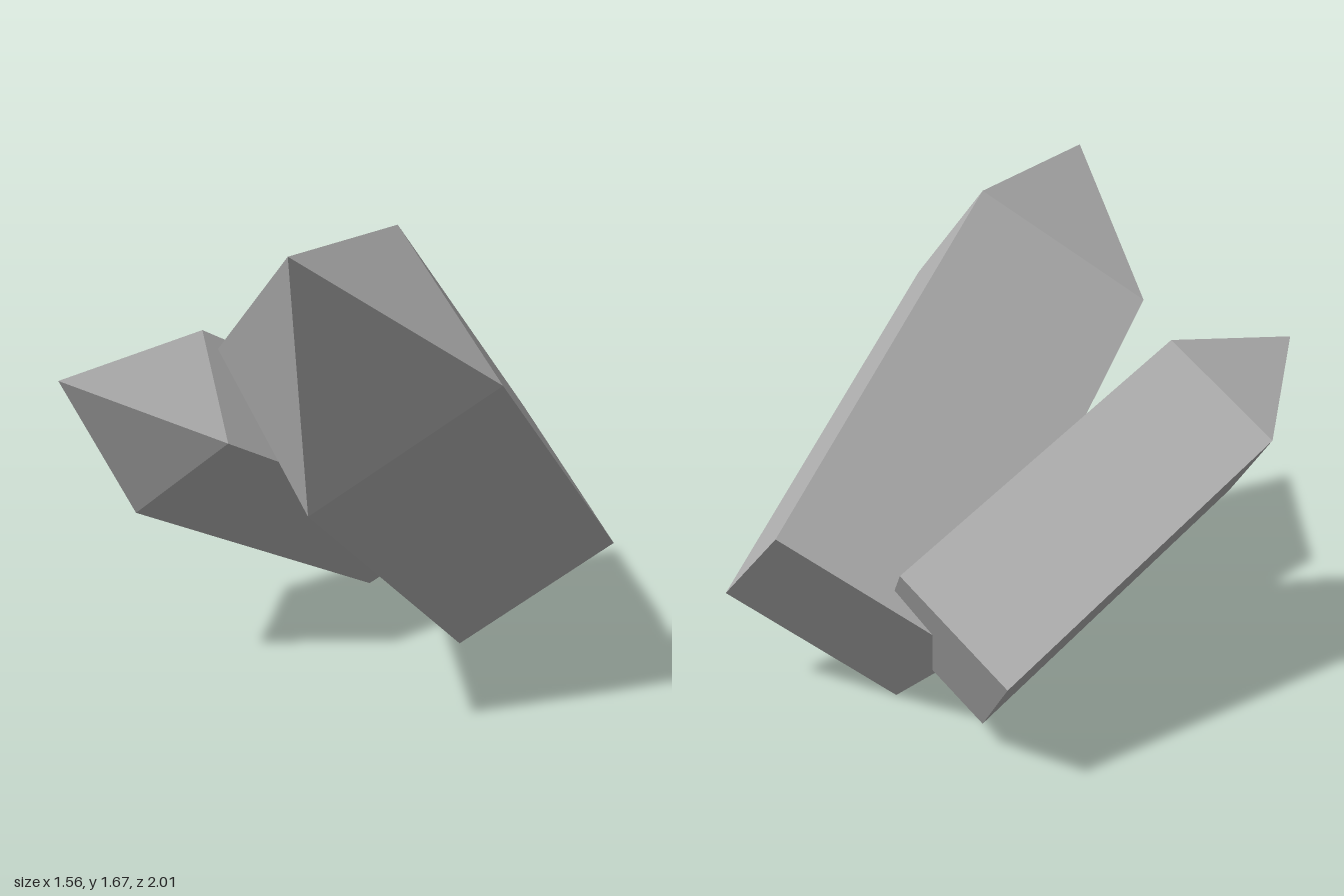
import * as THREE from 'three';

// Four-sided crystal: a parallelogram ring swept back along an axis, closed by a base and a pointed tip.
// front, right and left are ring corners; the top corner completes the parallelogram.
function crystal(name, material, { front, right, left, sweep, apex }) {
  const v = (p) => new THREE.Vector3(...p);
  const c = v(front), a = v(right), b = v(left), tip = v(apex);
  const ring = [c, a, a.clone().add(b).sub(c), b]; // counter-clockwise seen from the tip
  const base = ring.map((p) => p.clone().add(v(sweep)));

  const points = [];
  for (let i = 0; i < 4; i++) {
    const j = (i + 1) % 4;
    points.push(base[i], base[j], ring[j], base[i], ring[j], ring[i]); // side
    points.push(ring[i], ring[j], tip); // tip facet
  }
  points.push(base[0], base[2], base[1], base[0], base[3], base[2]); // flat base

  const geometry = new THREE.BufferGeometry().setFromPoints(points);
  geometry.computeVertexNormals();
  const mesh = new THREE.Mesh(geometry, material);
  mesh.name = name;
  return mesh;
}

export function createModel() {
  const group = new THREE.Group();
  group.name = 'crystalCluster';
  const stone = new THREE.MeshStandardMaterial({ color: 0xb0b0b0 });
  stone.name = 'greyStone';

  group.add(
    crystal('largeCrystal', stone, {
      front: [0.33, 0.863, 0.708],
      right: [0.778, 1.237, 0.395],
      left: [-0.15, 1.237, 0.452],
      sweep: [-0.072, -0.861, -1.148],
      apex: [0.457, 1.667, 1.0],
    }),
    crystal('smallCrystal', stone, {
      front: [-0.518, 0.628, 0.42],
      right: [-0.17, 0.912, 0.38],
      left: [-0.78, 0.915, 0.18],
      sweep: [0.32, -0.537, -1.0],
      apex: [-0.6, 1.125, 0.673],
    }),
  );
  return group;
}
